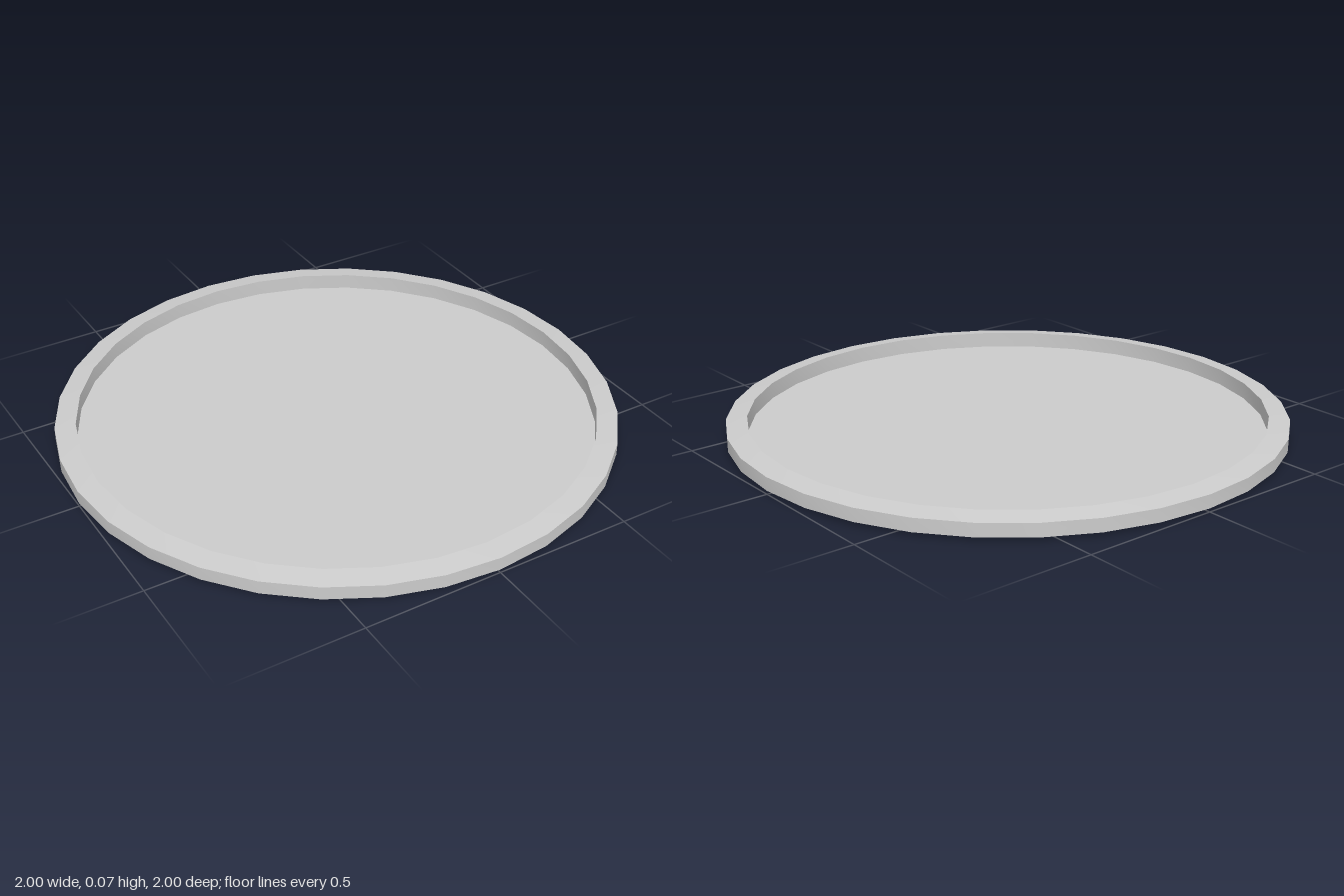
import * as THREE from 'three';
import { toCreasedNormals } from 'three/addons/utils/BufferGeometryUtils.js';

const SIDES = 32;

// Closed cross-section, from the underside's centre out and over the rim to the floor's centre
const PROFILE = [
  [0, 0],         // centre of the underside
  [0.925, 0],     // start of the lower bevel
  [1, 0.012],     // outer wall, bottom
  [1, 0.06],      // outer wall, top
  [0.925, 0.071], // inner lip of the sloping rim
  [0.925, 0.013], // foot of the inner wall
  [0, 0.013],     // centre of the floor
];

export function createModel() {
  const model = new THREE.Group();
  model.name = 'roundTray';

  const points = PROFILE.map(([r, y]) => new THREE.Vector2(r, y));
  const geometry = toCreasedNormals(new THREE.LatheGeometry(points, SIDES), Math.PI / 9);

  // Shallow dish with a raised rim
  const dish = new THREE.Mesh(geometry, new THREE.MeshStandardMaterial({ color: 0xcccccc }));
  dish.name = 'dish';
  model.add(dish);

  return model;
}
